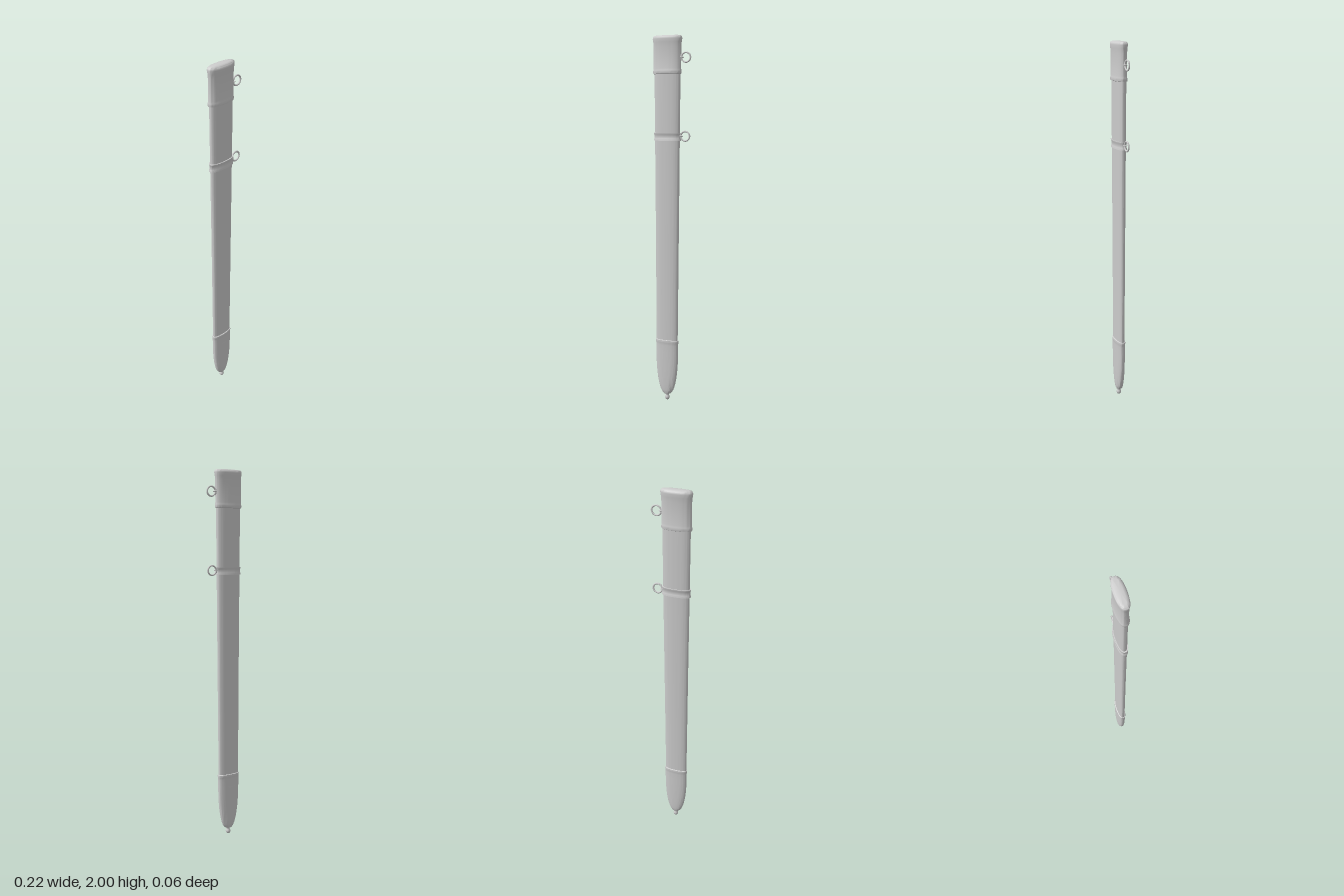
import * as THREE from 'three';
import { toCreasedNormals } from 'three/addons/utils/BufferGeometryUtils.js';

const SIDES = 48;

// Lofts rounded-oval sections [y, xMin, xMax, halfDepth], listed bottom to top, with closed ends
function loft(sections) {
  const pos = [], idx = [];
  for (const [y, x0, x1, rz] of sections) {
    const cx = (x0 + x1) / 2, rx = (x1 - x0) / 2;
    for (let i = 0; i < SIDES; i++) {
      const a = (i / SIDES) * Math.PI * 2, c = Math.cos(a), s = Math.sin(a), e = 2 / 2.35;
      pos.push(cx + Math.sign(c) * Math.abs(c) ** e * rx, y, Math.sign(s) * Math.abs(s) ** e * rz);
    }
  }
  const n = sections.length;
  for (let j = 0; j < n - 1; j++) {
    for (let i = 0; i < SIDES; i++) {
      const k = (i + 1) % SIDES, a = j * SIDES + i, b = j * SIDES + k;
      idx.push(a, a + SIDES, b, b, a + SIDES, b + SIDES);
    }
  }
  const bottom = n * SIDES, top = bottom + 1;
  for (const s of [sections[0], sections[n - 1]]) pos.push((s[1] + s[2]) / 2, s[0], 0);
  for (let i = 0; i < SIDES; i++) {
    const k = (i + 1) % SIDES, o = (n - 1) * SIDES;
    idx.push(bottom, i, k, top, o + k, o + i);
  }
  const g = new THREE.BufferGeometry();
  g.setAttribute('position', new THREE.Float32BufferAttribute(pos, 3));
  g.setIndex(idx);
  return toCreasedNormals(g, 0.75);
}

export function createModel() {
  const model = new THREE.Group();
  model.name = 'scabbard';
  const steel = new THREE.MeshStandardMaterial({ color: 0xcccccc });
  steel.name = 'steel';

  const add = (name, geometry, parent = model) => {
    const mesh = new THREE.Mesh(geometry, steel);
    mesh.name = name;
    parent.add(mesh);
    return mesh;
  };

  // Long tapering sheath
  add('sheath', loft([
    [0.3, -0.093, 0.032, 0.019],
    [1.0, -0.096, 0.039, 0.021],
    [1.85, -0.101, 0.047, 0.024],
  ]));

  // Throat fitting with a rolled lower rim and a rounded, slightly flared mouth
  add('throat', loft([
    [1.8, -0.102, 0.047, 0.025],
    [1.802, -0.107, 0.051, 0.029],
    [1.81, -0.109, 0.053, 0.031],
    [1.82, -0.107, 0.051, 0.029],
    [1.83, -0.105, 0.05, 0.027],
    [1.94, -0.105, 0.051, 0.027],
    [1.965, -0.107, 0.053, 0.029],
    [1.982, -0.11, 0.056, 0.031],
    [1.991, -0.109, 0.055, 0.03],
    [1.997, -0.104, 0.05, 0.025],
    [2.0, -0.09, 0.036, 0.014],
  ]));

  // Suspension band with a raised lip on both edges
  add('band', loft([
    [1.45, -0.106, 0.051, 0.028],
    [1.456, -0.106, 0.051, 0.028],
    [1.461, -0.103, 0.048, 0.025],
    [1.481, -0.103, 0.048, 0.025],
    [1.486, -0.106, 0.051, 0.028],
    [1.492, -0.106, 0.051, 0.028],
  ]));

  // Chape: tapering metal tip with a rolled upper rim
  const chape = [];
  for (let i = 0; i <= 14; i++) {
    const t = i / 14, y = 0.036 + 0.284 * t * t;
    const w = Math.pow(1 - (1 - t * t) ** 2.6, 0.5);
    const rx = 0.012 + 0.053 * w;
    chape.push([y, -0.03 - rx, -0.03 + rx, 0.01 + 0.0125 * Math.sqrt(w)]);
  }
  chape.push(
    [0.334, -0.096, 0.036, 0.023],
    [0.342, -0.098, 0.038, 0.025],
    [0.348, -0.097, 0.037, 0.024],
    [0.35, -0.093, 0.033, 0.02],
  );
  add('chape', loft(chape));

  // Finial: short neck and ball under the chape
  const finial = [[0, 0], [0.007, 0.002], [0.012, 0.008], [0.0135, 0.015], [0.012, 0.022],
    [0.008, 0.028], [0.009, 0.033], [0.014, 0.036], [0.014, 0.042], [0, 0.044]]
    .map(([r, y]) => new THREE.Vector2(r, y));
  add('finial', new THREE.LatheGeometry(finial, 24)).position.x = -0.029;

  // Carrying rings, each held by a small eyelet on the edge
  for (const [y, x] of [[1.885, 0.0785], [1.475, 0.0745]]) {
    const hanger = new THREE.Group();
    hanger.name = 'hanger';
    hanger.position.set(x, y, 0);
    add('ring', new THREE.TorusGeometry(0.025, 0.0045, 12, 36), hanger);
    const eyelet = add('eyelet', new THREE.TorusGeometry(0.0075, 0.003, 8, 20), hanger);
    eyelet.rotation.x = Math.PI / 2;
    eyelet.position.x = -0.0235;
    const stud = add('stud', new THREE.SphereGeometry(1, 16, 10), hanger);
    stud.scale.set(0.006, 0.018, 0.006);
    stud.position.x = -0.028;
    model.add(hanger);
  }
  return model;
}
